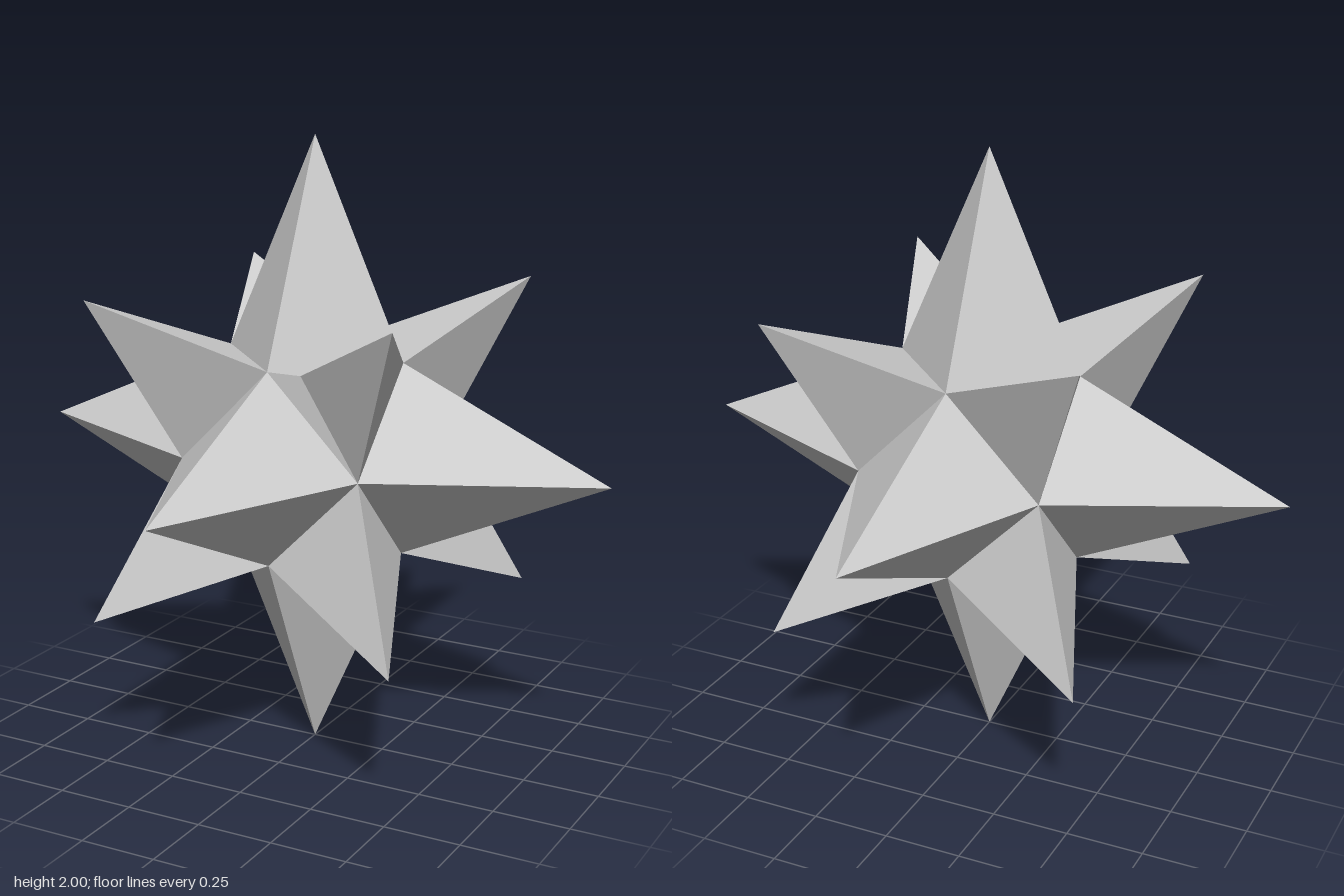
import * as THREE from 'three';

const BASE = 0.31;   // core corners lie at (±BASE, ±BASE, 0) and permutations
const TIP = 0.52;    // corner spike tips
const material = new THREE.MeshStandardMaterial({ color: 0xcccccc, flatShading: true });

function facets(name, triangles) {
  const geometry = new THREE.BufferGeometry().setFromPoints(triangles.flat());
  geometry.computeVertexNormals();
  const mesh = new THREE.Mesh(geometry, material);
  mesh.name = name;
  return mesh;
}

// Triangles from a counter-clockwise ring up to a tip
const fan = (ring, tip) => ring.map((p, i) => [p, ring[(i + 1) % ring.length], tip]);

export function createModel() {
  const group = new THREE.Group();
  group.name = 'spikedStar';
  const star = new THREE.Group();
  star.name = 'star';
  star.position.y = 1;
  group.add(star);
  const v = (x, y, z) => new THREE.Vector3(x, y, z);

  // Six long four-sided spikes along the axes
  const ring = [v(BASE, 0, BASE), v(0, BASE, BASE), v(-BASE, 0, BASE), v(0, -BASE, BASE)];
  const axes = [
    ['frontSpike', 0, 0], ['leftSpike', 0, Math.PI / 2], ['backSpike', 0, Math.PI],
    ['rightSpike', 0, -Math.PI / 2], ['topSpike', -Math.PI / 2, 0], ['bottomSpike', Math.PI / 2, 0],
  ];
  for (const [name, rx, ry] of axes) {
    const spike = facets(name, fan(ring, v(0, 0, 1)));
    spike.rotation.set(rx, ry, 0);
    star.add(spike);
  }

  // Eight short three-sided spikes towards the corners
  for (const x of [-1, 1]) for (const y of [-1, 1]) for (const z of [-1, 1]) {
    const a = v(0, y * BASE, z * BASE);
    const c = v(x * BASE, 0, z * BASE);
    const e = v(x * BASE, y * BASE, 0);
    const tip = v(x * TIP, y * TIP, z * TIP);
    const name = (y > 0 ? 'upper' : 'lower') + (z > 0 ? 'Front' : 'Back') + (x > 0 ? 'Left' : 'Right') + 'Spike';
    let triangles = fan(x * y * z > 0 ? [a, c, e] : [a, e, c], tip);
    if (x + y + z === 3) {
      // This one has a dent in its upper front ridge
      const dent = v(0.115, BASE, BASE);
      triangles = [[a, c, dent], [dent, c, tip], [c, e, tip], [e, dent, tip], [e, a, dent]];
    }
    star.add(facets(name, triangles));
  }
  return group;
}
